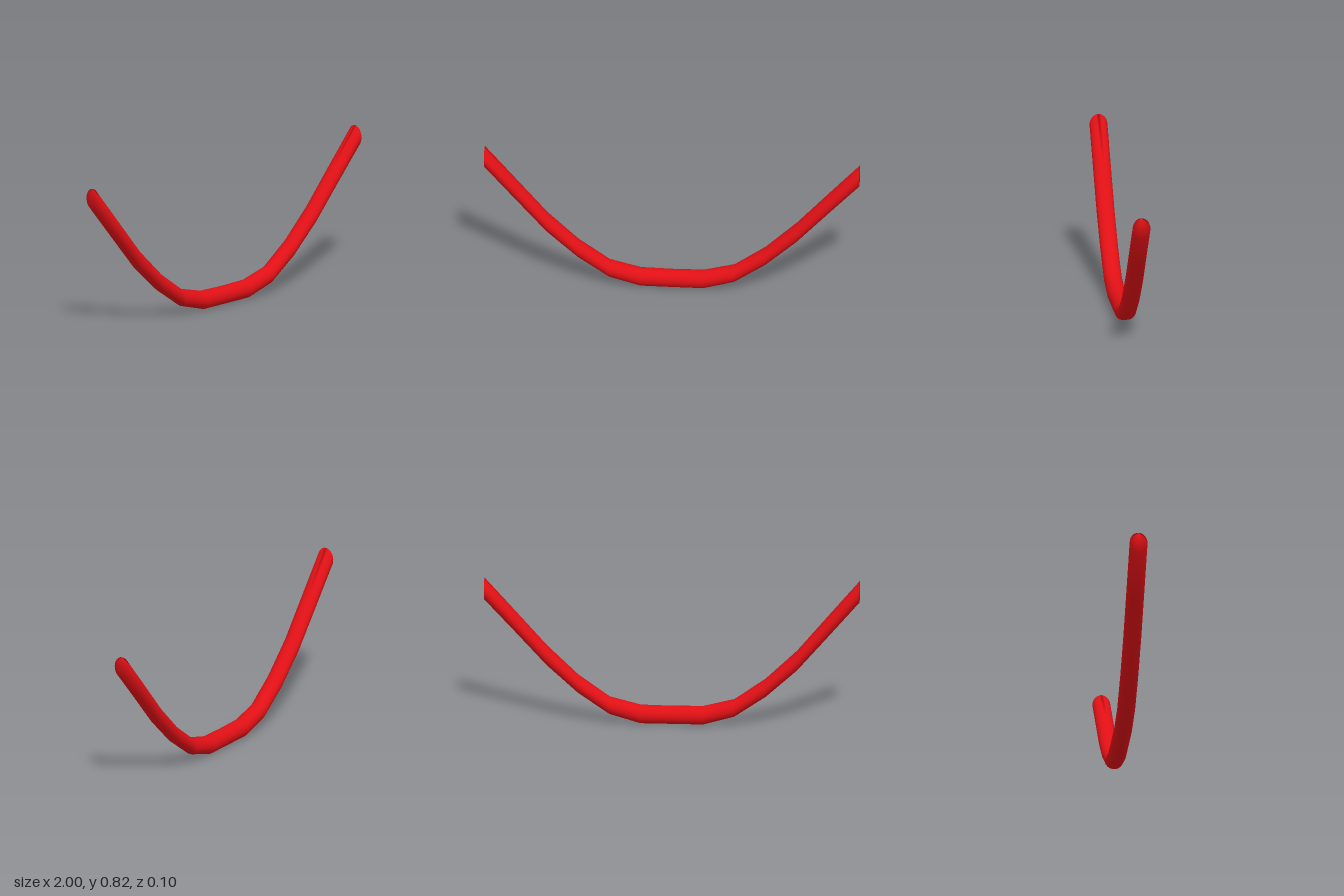
import * as THREE from 'three';

const SIDES = 24;
const HALF_DEPTH = 0.048;

// Upright oval sections along the bar: x, bottom y, top y
const SECTIONS = [
  [-1, 0.703, 0.82], [-0.833, 0.508, 0.622], [-0.667, 0.316, 0.424],
  [-0.5, 0.165, 0.264], [-0.333, 0.051, 0.145], [-0.167, 0.003, 0.103],
  [0, 0.003, 0.1], [0.167, 0.003, 0.103], [0.333, 0.051, 0.145],
  [0.5, 0.165, 0.264], [0.667, 0.316, 0.424], [0.833, 0.497, 0.61],
  [1, 0.676, 0.795],
];

function curvedBarGeometry() {
  const positions = [];
  const index = [];

  // Rings start at the top and turn toward +z
  for (const [x, bottom, top] of SECTIONS) {
    for (let j = 0; j < SIDES; j++) {
      const a = (j / SIDES) * Math.PI * 2;
      positions.push(
        x,
        (top + bottom) / 2 + Math.cos(a) * (top - bottom) / 2,
        Math.sin(a) * HALF_DEPTH,
      );
    }
  }

  // Skin between neighbouring rings
  for (let i = 0; i < SECTIONS.length - 1; i++) {
    for (let j = 0; j < SIDES; j++) {
      const k = (j + 1) % SIDES;
      const a = i * SIDES + j, b = i * SIDES + k;
      const c = a + SIDES, d = b + SIDES;
      index.push(a, b, c, b, d, c);
    }
  }

  // End caps share the ring corners, so their shading blends into the skin
  const last = (SECTIONS.length - 1) * SIDES;
  for (let j = 1; j < SIDES - 1; j++) {
    index.push(0, j + 1, j);
    index.push(last, last + j, last + j + 1);
  }

  const geometry = new THREE.BufferGeometry();
  geometry.setAttribute('position', new THREE.Float32BufferAttribute(positions, 3));
  geometry.setIndex(index);
  geometry.computeVertexNormals();
  return geometry;
}

export function createModel() {
  const group = new THREE.Group();
  group.name = 'curvedBarModel';
  const material = new THREE.MeshStandardMaterial({ color: 0xe01015 });
  const bar = new THREE.Mesh(curvedBarGeometry(), material);
  bar.name = 'curvedBar';
  group.add(bar);
  return group;
}
